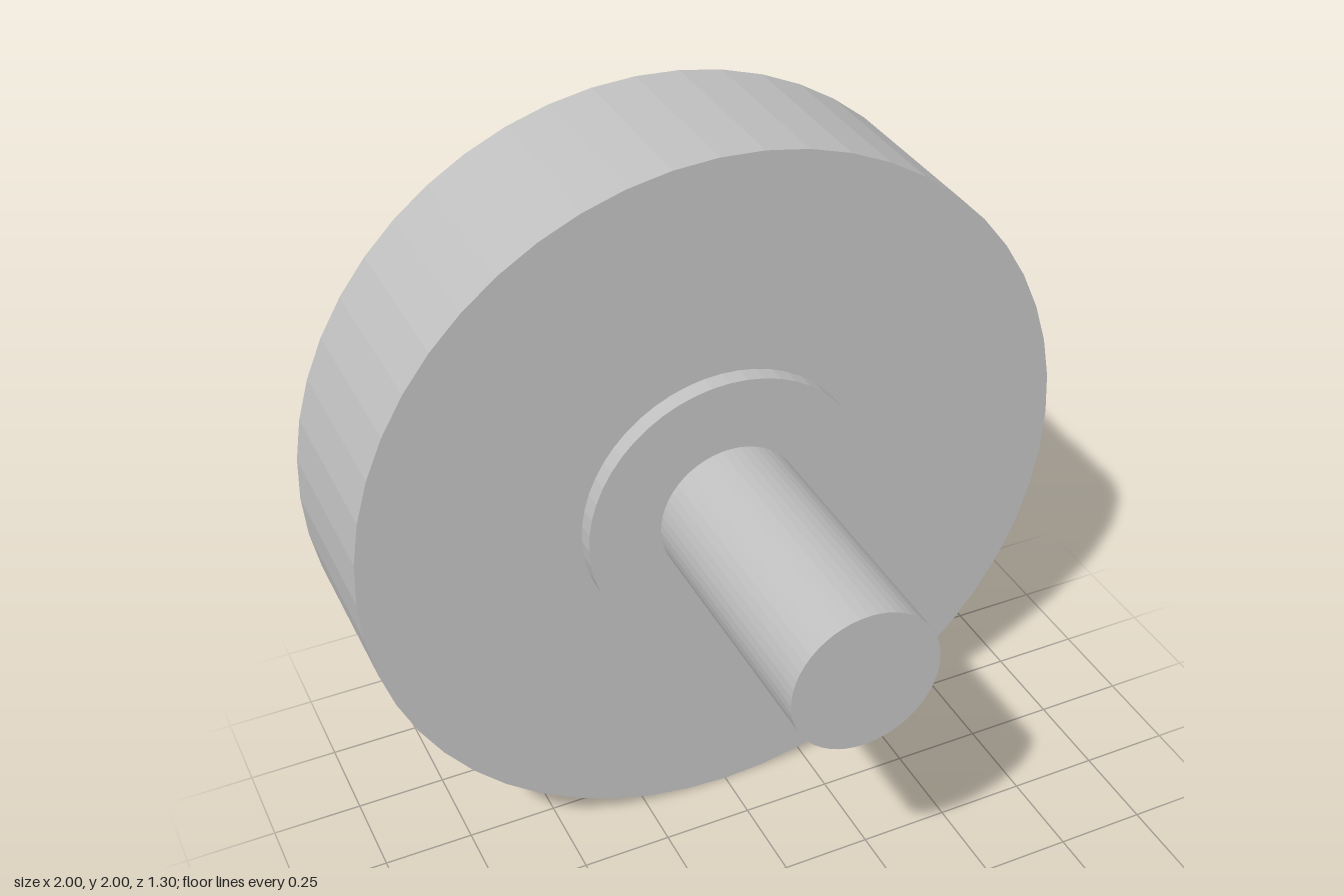
import * as THREE from 'three';

export function createModel() {
  const model = new THREE.Group();
  model.name = 'knob';
  const grey = new THREE.MeshStandardMaterial({ color: 0xc0c0c0, flatShading: true });
  grey.name = 'light grey';

  // Round part lying along z, from its back face to its front face
  function disc(name, radius, back, front) {
    const geometry = new THREE.CylinderGeometry(radius, radius, front - back, 52);
    geometry.rotateX(Math.PI / 2);
    const mesh = new THREE.Mesh(geometry, grey);
    mesh.name = name;
    mesh.position.set(0, 1, (back + front) / 2);
    model.add(mesh);
  }

  disc('wheel', 1, -0.65, -0.15);
  disc('collar', 0.4, -0.15, -0.1);
  disc('shaft', 0.2, -0.1, 0.65);

  return model;
}
